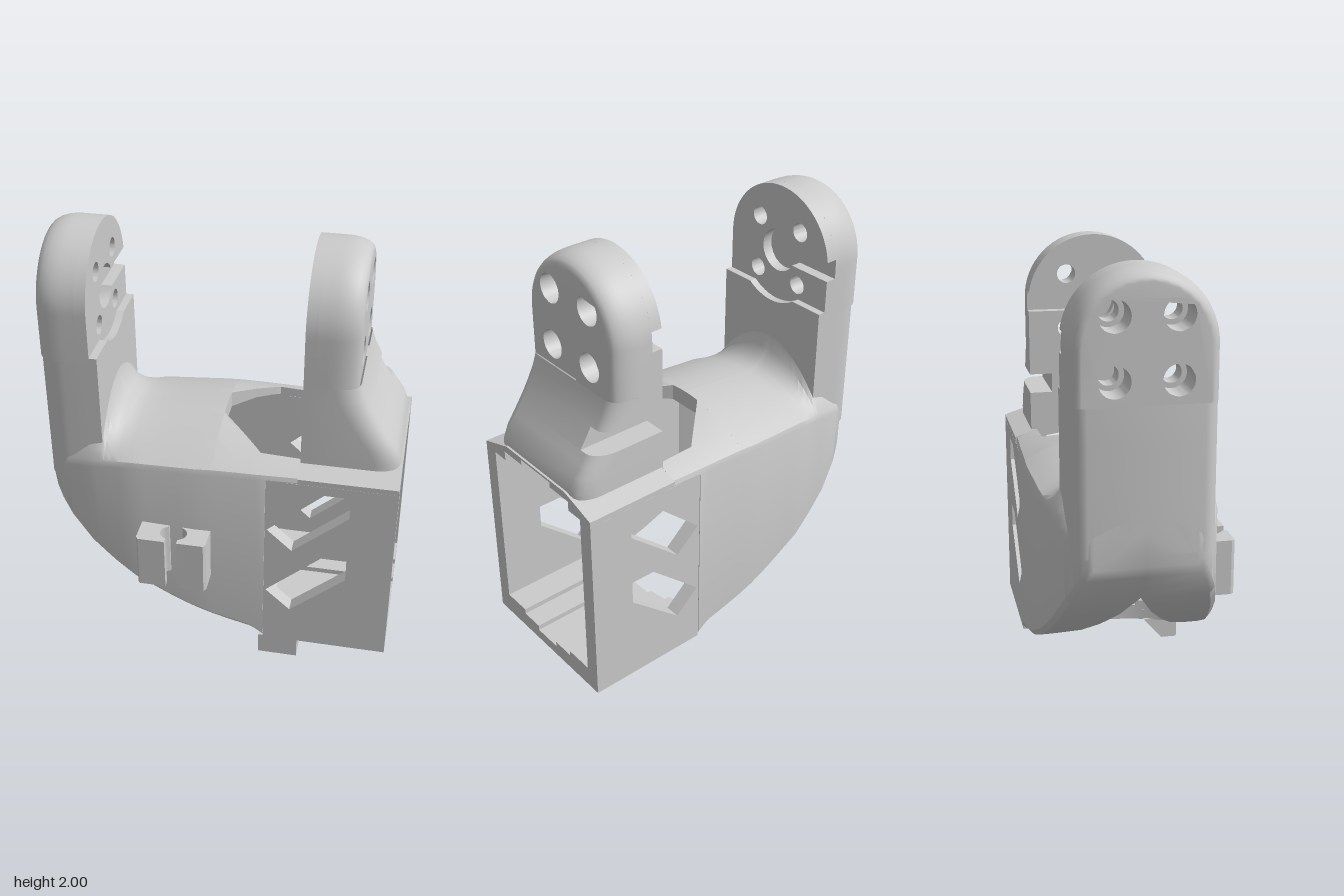
import * as THREE from 'three';
import { toCreasedNormals } from 'three/addons/utils/BufferGeometryUtils.js';

const C = -0.0575;   // z of the symmetry plane
const R = 0.307;     // half width of the arms
const HUB = 1.695;   // height of the arm's round end centre

const material = new THREE.MeshStandardMaterial({ color: 0xcccccc, side: THREE.DoubleSide });

function add(group, name, geo, crease = 0.6) {
  const mesh = new THREE.Mesh(toCreasedNormals(geo, crease), material);
  mesh.name = name;
  group.add(mesh);
  return mesh;
}

// piecewise linear lookup in a list of [key, value]
function at(table, x) {
  if (x <= table[0][0]) return table[0][1];
  for (let i = 1; i < table.length; i++) {
    const [a, va] = table[i - 1], [b, vb] = table[i];
    if (x <= b) return va + (vb - va) * (x - a) / (b - a);
  }
  return table[table.length - 1][1];
}

// skin over closed rings of [x, y, z]; the first ring can be capped with a fan
function loft(rings, flip, cap) {
  const n = rings[0].length, index = [];
  const tri = (a, b, c) => (flip ? index.push(a, c, b) : index.push(a, b, c));
  for (let i = 0; i < rings.length - 1; i++) {
    for (let j = 0; j < n; j++) {
      const a = i * n + j, b = i * n + (j + 1) % n;
      tri(a, a + n, b);
      tri(a + n, b + n, b);
    }
  }
  if (cap) for (let j = 1; j < n - 1; j++) tri(0, j, j + 1);
  const geo = new THREE.BufferGeometry();
  geo.setAttribute('position', new THREE.Float32BufferAttribute(rings.flat(2), 3));
  geo.setIndex(index);
  return geo;
}

const shapeOf = (pts) => new THREE.Shape(pts.map(([x, y]) => new THREE.Vector2(x, y)));
const extrude = (shape, depth) => new THREE.ExtrudeGeometry(shape, { depth, bevelEnabled: false, curveSegments: 16 });
// extrude along x: shape given in (z, y)
const alongX = (pts, x0, x1) =>
  extrude(shapeOf(pts.map(([z, y]) => [-z, y])), x1 - x0).rotateY(Math.PI / 2).translate(x0, 0, 0);
// extrude along y: shape given in (x, z)
const alongY = (shape, y0, y1) => extrude(shape, y1 - y0).rotateX(Math.PI / 2).translate(0, y1, 0);

// ---- body shell profiles along x ----
const bottom = [[-0.8, 0.8], [-0.78, 0.75], [-0.75, 0.695], [-0.7, 0.625], [-0.6, 0.515], [-0.5, 0.43], [-0.4, 0.362],
  [-0.2, 0.26], [0, 0.185], [0.15, 0.145], [0.19, 0.125], [0.22, 0.1]];
const width = [[-0.8, 0.235], [-0.78, 0.265], [-0.75, 0.29], [-0.7, 0.318], [-0.6, 0.35], [-0.4, 0.383], [-0.1, 0.397], [0.2, 0.39], [0.36, 0.383]];
const pocket = [[-0.7, 0], [-0.33, 0.25], [-0.25, 0.317]];
const shoulder = [[-0.8, 0.93], [-0.6, 0.98], [-0.4, 1.02], [0, 1.04], [0.36, 1.04]];
const crest = [[-0.8, 1.0], [-0.6, 1.28], [-0.535, 1.27], [-0.52, 1.21], [-0.49, 1.165], [-0.45, 1.135], [-0.38, 1.125],
  [-0.02, 1.16], [0.36, 1.13]];

// half of the shell's section; gap is the half width of the roof opening
function halfSection(x, gap, lifted, s) {
  const w = at(width, x), wi = at(pocket, x), sh = at(shoulder, x), top = at(crest, x);
  const b = lifted ? 1.0 : at(bottom, x);
  const roof = (d) => sh + (top - sh) * (1 - (d / w) ** 2);
  const pts = [[w - 0.02, b], [w, b + 0.025], [w, sh - 0.02], [w - 0.008, roof(w - 0.008)]];
  const N = 10;
  for (let i = 1; i <= N; i++) {
    const d = w + (gap - w) * i / N;
    pts.push([d, roof(d)]);
  }
  for (let i = 0; i <= 6; i++) {
    const d = gap + (Math.max(wi, gap) - gap) * i / 6;
    pts.push([d, Math.max(Math.min(roof(d) - 0.04, 1.08), 1.0)]);
  }
  if (x < -0.74) for (let i = 4 + N; i < pts.length; i++) pts[i][1] = roof(gap) - 0.04;
  pts.push([wi, b]);
  return pts.map(([d, y]) => [x, y, C + s * d]);
}

function buildBody(g) {
  const stations = [-0.8, -0.78, -0.75, -0.7, -0.65, -0.6, -0.56, -0.535, -0.52, -0.49, -0.45, -0.4, -0.33, -0.25, -0.17, -0.1, -0.02]
    .map((x) => [x, 0, false]);
  stations.push([-0.02, 0.085, false], [0.08, 0.183, false], [0.15, 0.25, false], [0.18, 0.28, false],
    [0.22, 0.28, false], [0.22, 0.28, true], [0.36, 0.28, true], [0.36, 0, true]);
  for (const s of [1, -1]) {
    add(g, s > 0 ? 'frontShell' : 'backShell', loft(stations.map(([x, h, l]) => halfSection(x, h, l, s)), s < 0, true));
    // flat side wall with two slanted slots
    const wall = shapeOf([[0.22, 0.1], [0.8, 0.1], [0.8, 1.02], [0.22, 1.02]]);
    for (const dy of [0, -0.353]) {
      wall.holes.push(shapeOf([[0.23, 0.75], [0.48, 0.975], [0.595, 0.975], [0.595, 0.865], [0.345, 0.645]]
        .map(([x, y]) => [x, y + dy])));
    }
    add(g, 'slottedWall', extrude(wall, 0.07).translate(0, 0, s > 0 ? 0.258 : -0.443), 0.2);
  }
  // stepped roof of the open box end
  const half = [[0.385, 1.0], [0.385, 1.045], [0.215, 1.1]];
  const under = [[0.105, 1.09], [0.105, 1.065], [0.235, 1.065], [0.235, 1.02], [0.315, 1.02], [0.315, 1.0]];
  const m = (p) => p.map(([d, y]) => [C - d, y]).reverse();
  const p = (q) => q.map(([d, y]) => [C + d, y]);
  add(g, 'boxRoof', alongX([...p(half), ...m(half), ...m(under), ...p(under)], 0.36, 0.8), 0.2);

  // floor plate with a curved inner edge, and raised strips along it
  const edge = (d) => 0.25 - 0.07 * (d / 0.317) ** 2;
  const strip = (d0, d1) => {
    const pts = [[0.8, -(C + d1)], [0.8, -(C + d0)]];
    for (let i = 0; i <= 10; i++) {
      const d = d0 + (d1 - d0) * i / 10;
      pts.push([edge(d), -(C + d)]);
    }
    return shapeOf(pts.map(([x, z]) => [x, -z]));
  };
  const floor = strip(-0.32, 0.32);
  for (const [x, z] of [[0.56, -0.23], [0.62, 0.17]]) floor.holes.push(new THREE.Path().absarc(x, z, 0.03, 0, Math.PI * 2));
  add(g, 'floor', alongY(floor, 0.1, 0.15), 0.3);
  for (const s of [1, -1]) {
    const span = (a) => (s > 0 ? strip(a, 0.32) : strip(-0.32, -a));
    add(g, 'floorStep', alongY(span(0.07), 0.15, 0.175), 0.3);
    add(g, 'floorStep', alongY(span(0.18), 0.175, 0.2), 0.3);
  }
  // wedge tab under the front edge
  add(g, 'footTab', alongX([[0.327, 0], [0.25, 0], [0.16, 0.105], [0.327, 0.105]], 0.2, 0.385), 0.2);
}

// ---- arms ----
const ROUND_X = 0.11, ROUND_Z = 0.05;

// rounded end of an arm; layers are [depth, inset, hole radius]
function armPlate(layers, notchSide) {
  const pts = [[-R, 1.47], [R, 1.47]];
  let a0 = 0;
  if (notchSide) {
    pts.push([R, HUB - 0.045], [0.12, HUB - 0.045]);
    for (let k = 0; k <= 18; k++) {
      const a = -0.467 - k * (Math.PI * 2 - 0.934) / 18;
      pts.push([0.1 * Math.cos(a), HUB + 0.1 * Math.sin(a)]);
    }
    pts.push([0.12, HUB + 0.045]);
    a0 = 0.147;
  }
  for (let k = 0; k <= 32; k++) {
    const a = a0 + (Math.PI - a0) * k / 32;
    pts.push([R * Math.cos(a), HUB + R * Math.sin(a)]);
  }
  const side = notchSide || 1;
  const shape = shapeOf(pts.map(([u, v]) => [u * side, v]));
  const centres = [[-1, -1], [1, -1], [1, 1], [-1, 1]].map(([i, j]) => [i * 0.1275, HUB + j * 0.1275]);
  const r0 = 0.043;
  for (const [u, v] of centres) shape.holes.push(new THREE.Path().absarc(u, v, r0, 0, Math.PI * 2));
  const n = layers.length - 1;
  const geo = new THREE.ExtrudeGeometry(shape, { depth: n, steps: n, bevelEnabled: false, curveSegments: 20 });
  const pos = geo.attributes.position;
  for (let i = 0; i < pos.count; i++) {
    let u = pos.getX(i), v = pos.getY(i);
    const [d, inset, r] = layers[Math.round(pos.getZ(i))];
    const c = centres.find(([cu, cv]) => Math.hypot(u - cu, v - cv) < r0 + 0.003);
    if (c) {
      u = c[0] + (u - c[0]) * r / r0;
      v = c[1] + (v - c[1]) * r / r0;
    } else if (inset) {
      const k = 1 - inset / R, base = Math.min(v, HUB);
      u *= k;
      v = base + (v - base) * k;
    }
    pos.setXYZ(i, u, v, d);
  }
  return geo;
}

// plan section of an arm: flat inner face, rounded outer corners
function armRing(y, inner, depth, s, back = C - R) {
  const pts = [[0, back]], q = [];
  for (let k = 0; k <= 6; k++) {
    const a = k / 6 * Math.PI / 2;
    q.push([depth - ROUND_X * (1 - Math.sin(a)), R - 0.07 * (1 - Math.cos(a))]);
  }
  q.forEach(([d, w]) => pts.push([d, Math.max(C - w, back)]));
  q.reverse().forEach(([d, w]) => pts.push([d, C + w]));
  pts.push([0, C + R]);
  return pts.map(([d, z]) => [inner + s * d, y, z]);
}

function buildArm(g, s, inner) {
  const name = s > 0 ? 'leftArm' : 'rightArm';
  const place = (geo, d) => geo.rotateY(s * Math.PI / 2).translate(inner + s * d, 0, C);
  // inner layer carries the hub recess and its slot
  add(g, name + 'Recess', place(armPlate([[0, 0, 0.043], [0.05, 0, 0.043]], s), 0), 0.4);
  const layers = [[0, 0, 0.043], [0.04, 0, 0.043], [0.04, 0, 0.065]];
  for (let k = 0; k <= 6; k++) {
    const a = k / 6 * Math.PI / 2;
    layers.push([0.07 + ROUND_X * Math.sin(a), ROUND_Z * (1 - Math.cos(a)), 0.065]);
  }
  add(g, name + 'End', place(armPlate(layers, 0), 0.05), 0.6);

  // lower part, flared towards the box on one side
  const flare = [[1.08, 0.43], [1.11, 0.43], [1.17, 0.405], [1.22, 0.37], [1.26, 0.343], [1.3, 0.317], [1.35, 0.288], [1.41, 0.257], [1.47, 0.237]];
  const rings = [];
  if (s > 0) {
    for (const [y, d] of flare) {
      const slot = y > 1.25 && y < 1.36;
      if (y === 1.26) rings.push(armRing(y, inner, d, s));
      rings.push(armRing(y, inner, d, s, slot ? -0.26 : undefined));
      if (y === 1.35) rings.push(armRing(y, inner, d, s));
    }
  } else {
    for (const y of [0.85, 1.1, 1.3, 1.47]) rings.push(armRing(y, inner, 0.23, s));
  }
  add(g, name + 'Base', loft(rings, s < 0, false), 0.6);
}

// pad on the inner face of one arm, hollowed around the hub
function buildPad(g) {
  const pts = [[C + R, 1.0], [C + R, 1.5]];
  for (let k = 0; k <= 12; k++) {
    const a = -0.95 - k / 12 * (Math.PI - 1.9);
    pts.push([C + 0.24 * Math.cos(a), HUB + 0.24 * Math.sin(a)]);
  }
  pts.push([C - R, 1.5], [C - R, 1.0]);
  add(g, 'armPad', alongX(pts, -0.575, -0.535), 0.3);
}

// pair of hooked cable clips on the front
function buildClips(g) {
  for (const s of [1, -1]) {
    const pts = [[0.16, 0.3], [0.16, 0.44], [0.15, 0.455], [0.028, 0.455], [0.028, 0.425]];
    for (let k = 0; k <= 8; k++) {
      const a = 1.05 - k / 8 * 2.1;
      pts.push([0.062 * Math.cos(a), 0.385 + 0.05 * Math.sin(a)]);
    }
    pts.push([0.028, 0.33], [0.028, 0.3]);
    add(g, 'cableClip', alongY(shapeOf(pts.map(([d, z]) => [-0.186 + s * d, z])), 0.45, 0.71), 0.4);
  }
}

export function createModel() {
  const g = new THREE.Group();
  g.name = 'armBracket';
  buildBody(g);
  buildArm(g, 1, 0.36);
  buildArm(g, -1, -0.57);
  buildPad(g);
  buildClips(g);
  return g;
}
